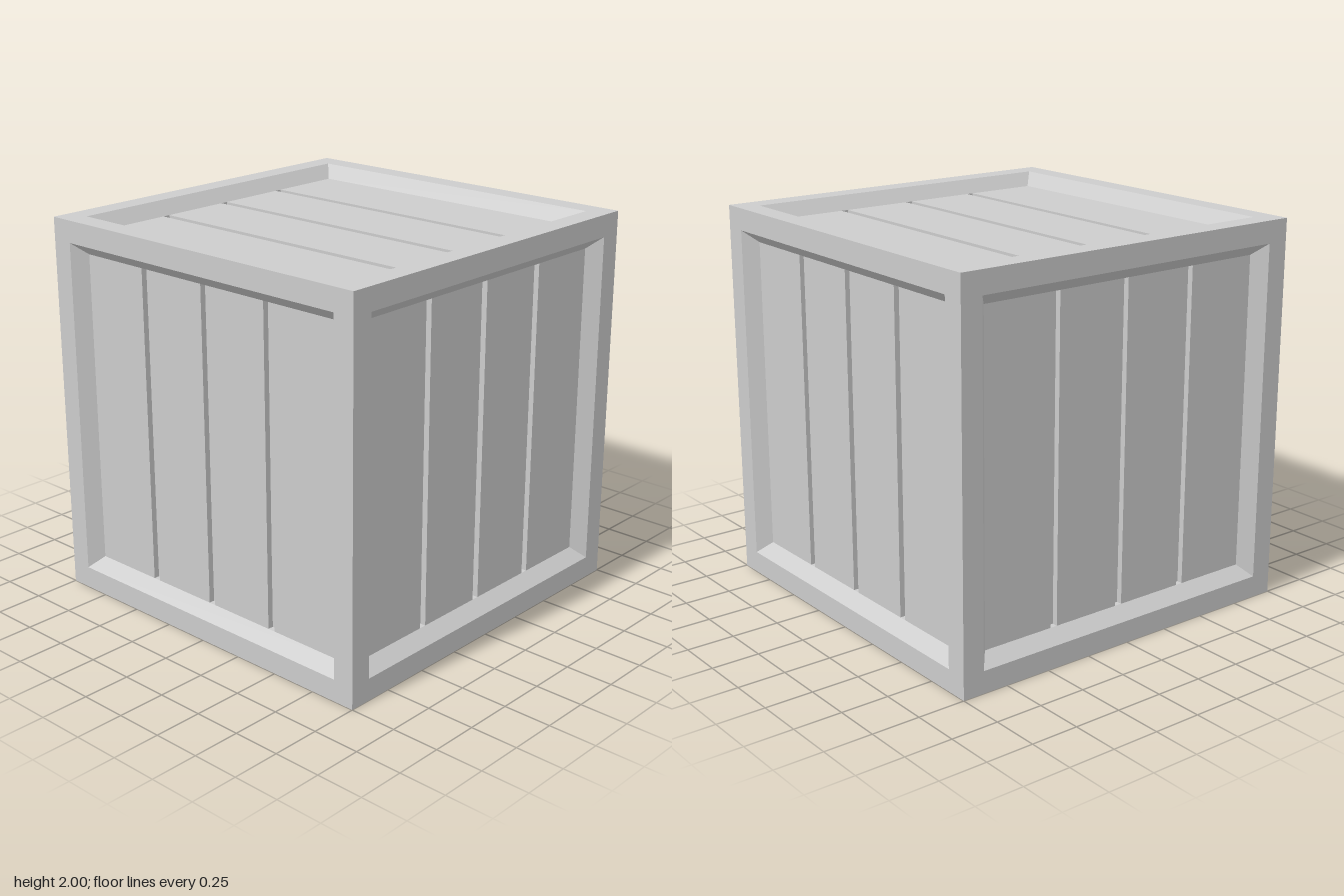
import * as THREE from 'three';

const OUTER = 1, OPENING = 0.885, PANEL = 0.825;   // half widths
const RECESS = 0.07, GROOVE_DEPTH = 0.03, GROOVE_WIDTH = 0.04;

function rectangle(path, x, y, halfW, halfH) {
  path.moveTo(x - halfW, y - halfH);
  path.lineTo(x + halfW, y - halfH);
  path.lineTo(x + halfW, y + halfH);
  path.lineTo(x - halfW, y + halfH);
  path.closePath();
  return path;
}

// Flat square border around the opening
function frameGeometry() {
  const shape = rectangle(new THREE.Shape(), 0, 0, OUTER, OUTER);
  shape.holes.push(rectangle(new THREE.Path(), 0, 0, OPENING, OPENING));
  return new THREE.ShapeGeometry(shape).translate(0, 0, OUTER);
}

// Four sloped faces leading down to the planks, turned to face inward
function slopeGeometry() {
  const r = Math.SQRT2;
  const geo = new THREE.CylinderGeometry(OPENING * r, PANEL * r, RECESS, 4, 1, true, Math.PI / 4)
    .rotateX(Math.PI / 2)
    .scale(-1, 1, 1)
    .translate(0, 0, OUTER - RECESS / 2)
    .toNonIndexed();
  geo.computeVertexNormals();
  return geo;
}

// Four planks separated by three slots; the margin tucks in behind the frame
function planksGeometry() {
  const shape = rectangle(new THREE.Shape(), 0, 0, PANEL + 0.04, PANEL + 0.04);
  for (const i of [-1, 0, 1]) {
    shape.holes.push(rectangle(new THREE.Path(), i * PANEL / 2, 0, GROOVE_WIDTH / 2, PANEL));
  }
  return new THREE.ExtrudeGeometry(shape, { depth: GROOVE_DEPTH, bevelEnabled: false })
    .translate(0, 0, OUTER - RECESS - GROOVE_DEPTH);
}

export function createModel() {
  const crate = new THREE.Group();
  crate.name = 'crate';
  const grey = new THREE.MeshStandardMaterial({ color: 0xcccccc });
  grey.name = 'grey';

  const parts = {
    frame: frameGeometry(),
    slopedEdge: slopeGeometry(),
    planks: planksGeometry(),
  };

  // Planks stand upright on the sides and run along x on the top and bottom
  const q = Math.PI / 2;
  const sides = {
    front: [0, 0, 0], left: [0, q, 0], back: [0, 2 * q, 0], right: [0, -q, 0],
    top: [-q, 0, q], bottom: [q, 0, q],
  };
  for (const [sideName, rotation] of Object.entries(sides)) {
    const side = new THREE.Group();
    side.name = sideName + 'Side';
    for (const [partName, geometry] of Object.entries(parts)) {
      const mesh = new THREE.Mesh(geometry, grey);
      mesh.name = partName;
      side.add(mesh);
    }
    side.rotation.set(...rotation);
    side.position.y = 1;
    crate.add(side);
  }

  // Solid core forming the groove floors
  const size = 2 * (OUTER - RECESS - GROOVE_DEPTH);
  const core = new THREE.Mesh(new THREE.BoxGeometry(size, size, size), grey);
  core.name = 'core';
  core.position.y = 1;
  crate.add(core);

  return crate;
}
